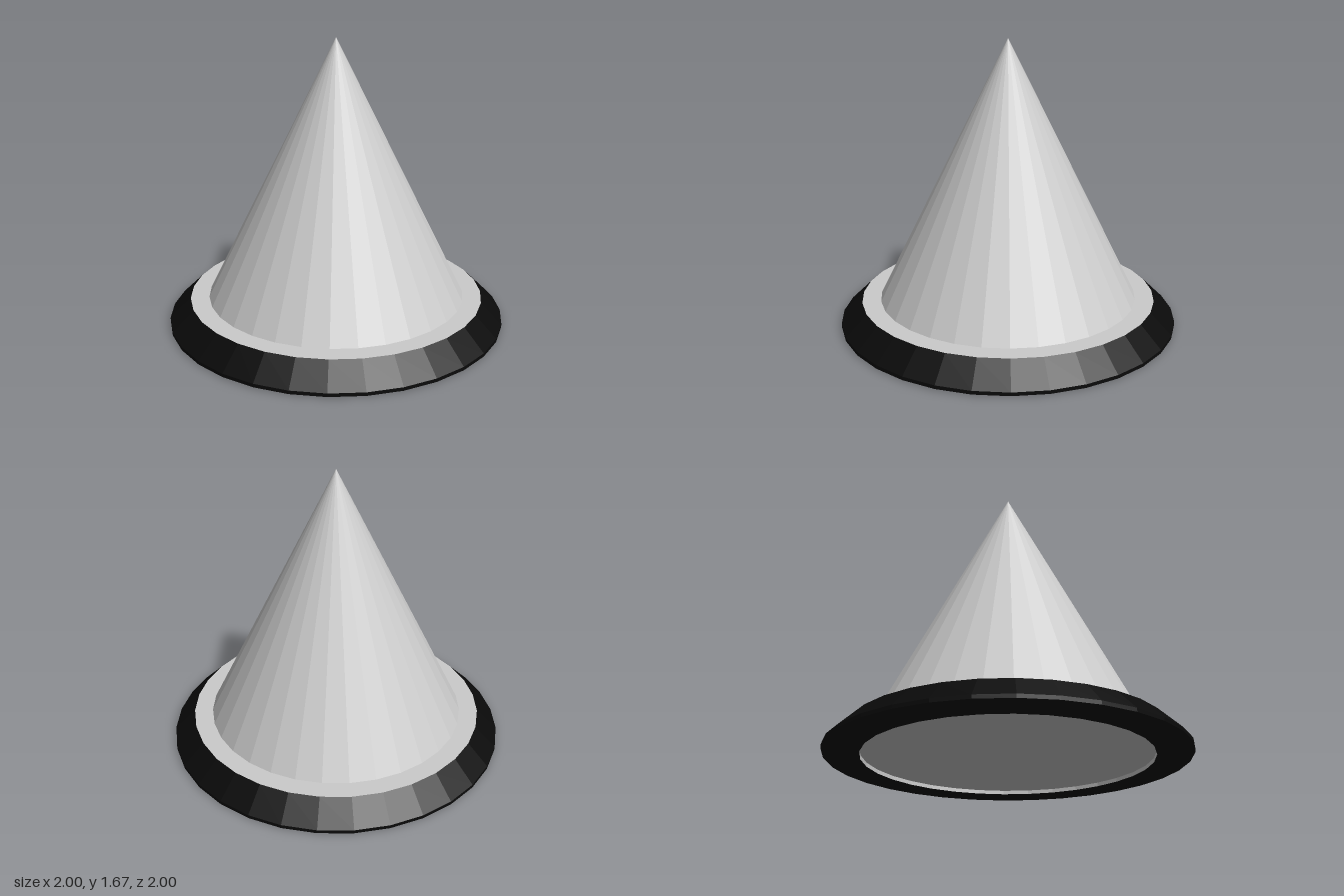
import * as THREE from 'three';

const SIDES = 32;

// Turn a [radius, height] profile into a faceted ring
function turned(name, profile, material) {
  const points = profile.map(([r, y]) => new THREE.Vector2(r, y));
  const mesh = new THREE.Mesh(new THREE.LatheGeometry(points, SIDES), material);
  mesh.name = name;
  return mesh;
}

export function createModel() {
  const group = new THREE.Group();
  group.name = 'coneOnBase';
  const grey = new THREE.MeshStandardMaterial({ color: 0xcccccc, flatShading: true });
  const black = new THREE.MeshStandardMaterial({ color: 0x0a0a0a, flatShading: true });

  // Black base: underside, low rim and sloping shoulder
  group.add(turned('baseRim', [[0.8, 0], [1, 0.005], [1, 0.025], [0.875, 0.145]], black));

  // Flat grey deck around the foot of the cone
  group.add(turned('baseDeck', [[0.875, 0.145], [0.74, 0.145]], grey));

  // Shallow recess under the base
  group.add(turned('recessWall', [[0.8, 0.022], [0.8, 0]], grey));

  // Cone, whose closed bottom shows through the base opening
  const bottom = 0.022, apex = 1.67;
  const radius = 0.765 * (apex - bottom) / (apex - 0.145);
  const cone = new THREE.Mesh(new THREE.ConeGeometry(radius, apex - bottom, SIDES), grey);
  cone.position.y = (apex + bottom) / 2;
  cone.name = 'cone';
  group.add(cone);

  return group;
}
